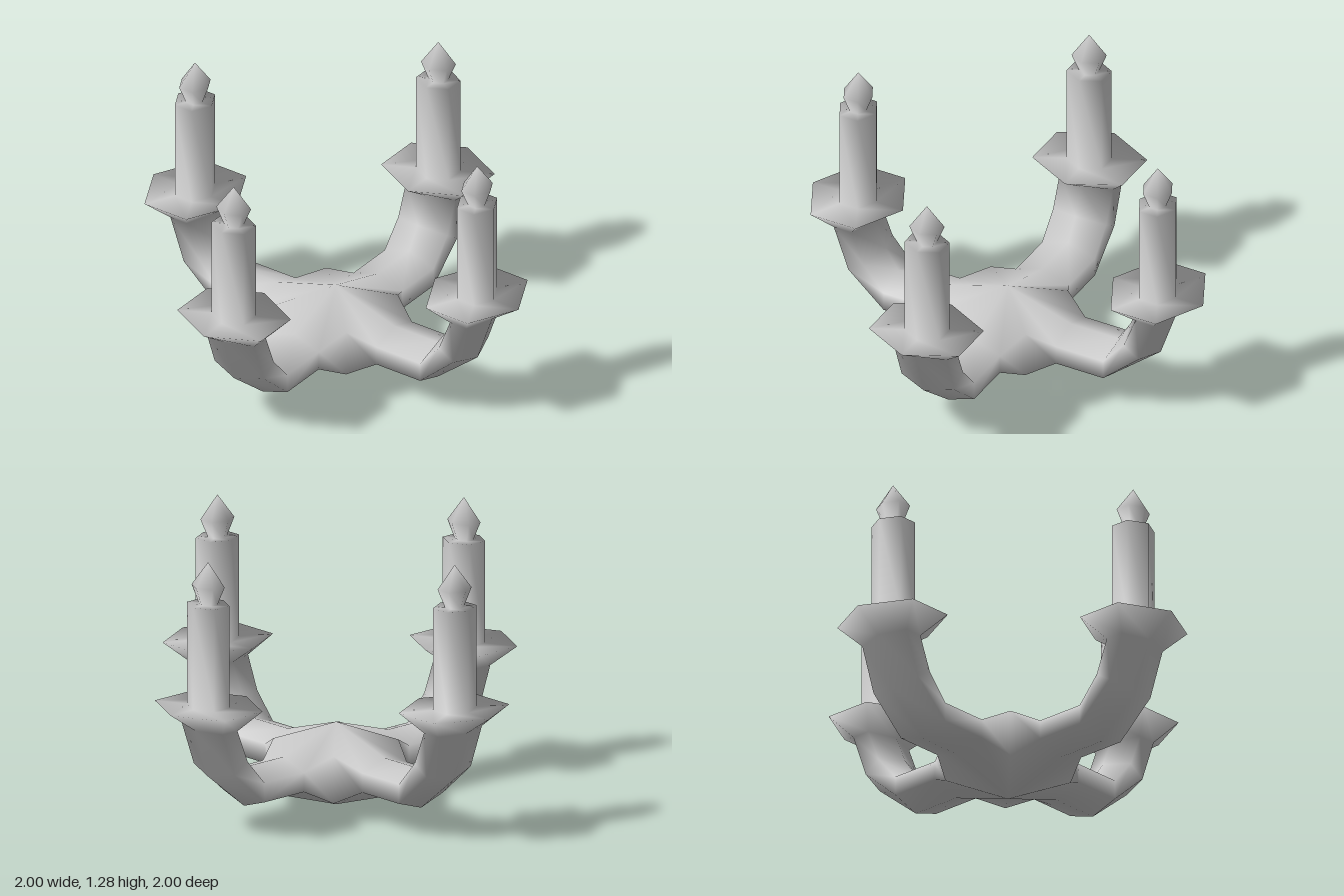
import * as THREE from 'three';

const ARMS = 4, SIDES = 6;

export function createModel() {
  const group = new THREE.Group();
  const material = new THREE.MeshStandardMaterial({ color: 0xcccccc });
  const points = [];
  const parts = {};

  const vertex = (x, y, z) => points.push(x, y, z) / 3 - 1;
  const quad = (part, a, b, c, d) => (parts[part] ??= []).push(a, b, c, a, c, d);

  // Six-sided section: outer point, inner point (radius, height), half width, sideways shift
  function ring(angle, [ro, yo, ri, yi, w, shift = 0]) {
    const c = Math.cos(angle), s = Math.sin(angle);
    const layout = [[0, 0], [0.25, w], [0.75, w], [1, 0], [0.75, -w], [0.25, -w]];
    return layout.map(([f, side]) => {
      const r = ro + (ri - ro) * f, t = side + shift;
      return vertex(r * c - t * s, yo + (yi - yo) * f, r * s + t * c);
    });
  }
  const level = (y, r, w, shift) => [0.77 + r, y, 0.77 - r, y, w, shift];

  function bridge(part, a, b) {
    for (let j = 0; j < SIDES; j++) {
      const k = (j + 1) % SIDES;
      quad(part, a[j], b[j], b[k], a[k]);
    }
  }

  // Arms, each carrying a dish, a candle and a flame
  const roots = [];
  for (let i = 0; i < ARMS; i++) {
    const angle = i * Math.PI / 2;
    const shift = i % 2 ? -0.01 : 0.01;
    const sections = [
      ['', [0.32, 0.11, 0.32, 0.29, 0.135]],
      ['arm', [0.56, 0.11, 0.56, 0.29, 0.135]],
      ['arm', [0.78, 0.29, 0.625, 0.39, 0.135]],
      ['arm', level(0.52, 0.09, 0.135, 0)],
      ['dish', level(0.615, 0.23, 0.23, shift * 0.7)],
      ['dish', level(0.615, 0.092, 0.09, shift)],
      ['candle', level(1.09, 0.092, 0.09, shift)],
      ['candle', level(1.09, 0.04, 0.04, shift)],
      ['flame', level(1.175, 0.072, 0.07, shift)],
    ];
    let last = null;
    for (const [part, section] of sections) {
      const next = ring(angle, section);
      if (last) bridge(part + (i + 1), last, next);
      else roots.push(next);
      last = next;
    }
    // Flame tip
    const c = Math.cos(angle), s = Math.sin(angle);
    const tip = vertex(0.77 * c - shift * s, 1.285, 0.77 * s + shift * c);
    last.forEach((v, j) => parts['flame' + (i + 1)].push(v, tip, last[(j + 1) % SIDES]));
  }

  // Hub: shallow peaks above and below, with a corner between neighbouring arms
  const top = vertex(0, 0.39, 0), bottom = vertex(0, 0.005, 0);
  for (let i = 0; i < ARMS; i++) {
    const a = roots[i], b = roots[(i + 1) % ARMS];
    const angle = (i + 0.5) * Math.PI / 2, r = 0.28;
    const x = r * Math.cos(angle), z = r * Math.sin(angle);
    const upper = vertex(x, 0.31, z), lower = vertex(x, 0.09, z);
    quad('hub', top, upper, a[2], a[3]);
    quad('hub', top, b[3], b[4], upper);
    quad('hub', bottom, a[0], a[1], lower);
    quad('hub', bottom, lower, b[5], b[0]);
    quad('hub', a[1], a[2], upper, lower);
    quad('hub', lower, upper, b[4], b[5]);
  }

  // Smooth normals run across the whole body; each part draws its own faces
  const body = new THREE.BufferGeometry();
  body.setAttribute('position', new THREE.Float32BufferAttribute(points, 3));
  body.setIndex(Object.values(parts).flat());
  body.computeVertexNormals();

  for (const [name, index] of Object.entries(parts)) {
    const geometry = new THREE.BufferGeometry();
    geometry.setAttribute('position', body.getAttribute('position'));
    geometry.setAttribute('normal', body.getAttribute('normal'));
    geometry.setIndex(index);
    const mesh = new THREE.Mesh(geometry, material);
    mesh.name = name;
    group.add(mesh);
  }
  group.name = 'candelabra';
  return group;
}
